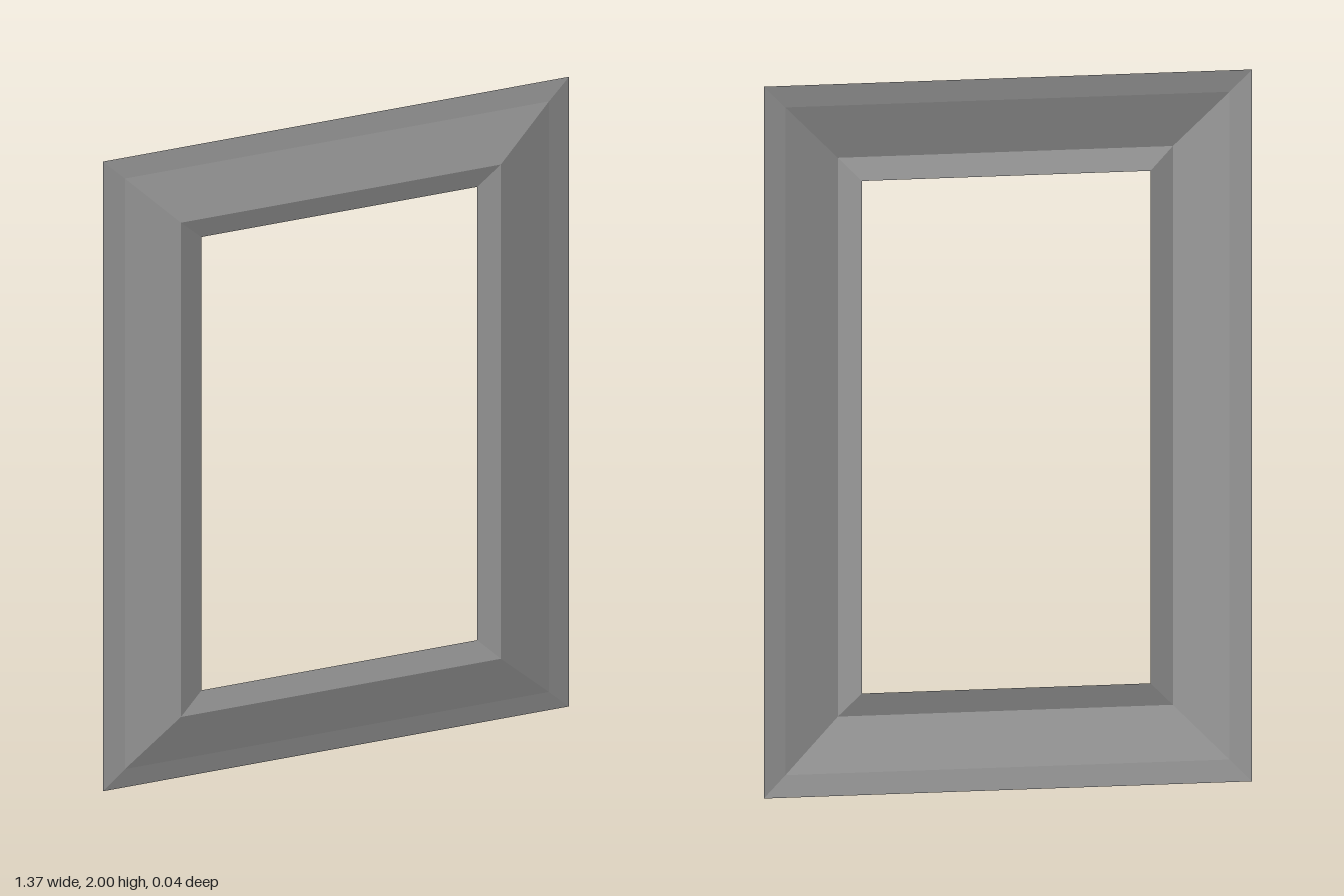
import * as THREE from 'three';

// Moulding cross-section: [inset from the outer edge, z]
const PROFILE = [[0, -0.02], [0.062, -0.0125], [0.215, 0.02], [0.28, 0.007]];
const HALF_W = 0.685, HALF_H = 1;

// One mitred rail: the profile swept between two neighbouring corners
function railGeometry(a, b) {
  const positions = [];
  const at = ([sx, sy], [inset, z]) => [sx * (HALF_W - inset), HALF_H + sy * (HALF_H - inset), z];
  for (let i = 0; i < PROFILE.length - 1; i++) {
    const p = at(a, PROFILE[i]), q = at(b, PROFILE[i]);
    const r = at(b, PROFILE[i + 1]), s = at(a, PROFILE[i + 1]);
    positions.push(...p, ...q, ...r, ...p, ...r, ...s);
  }
  const geometry = new THREE.BufferGeometry();
  geometry.setAttribute('position', new THREE.Float32BufferAttribute(positions, 3));
  geometry.computeVertexNormals();
  return geometry;
}

export function createModel() {
  const group = new THREE.Group();
  group.name = 'frame';
  const grey = new THREE.MeshStandardMaterial({ color: 0xb4b4b4, side: THREE.DoubleSide, flatShading: true });
  grey.name = 'frame grey';

  // Four rails, counter-clockwise as seen from the front
  const corners = [[-1, -1], [1, -1], [1, 1], [-1, 1]];
  ['bottomRail', 'leftRail', 'topRail', 'rightRail'].forEach((name, i) => {
    const rail = new THREE.Mesh(railGeometry(corners[i], corners[(i + 1) % 4]), grey);
    rail.name = name;
    group.add(rail);
  });
  return group;
}
